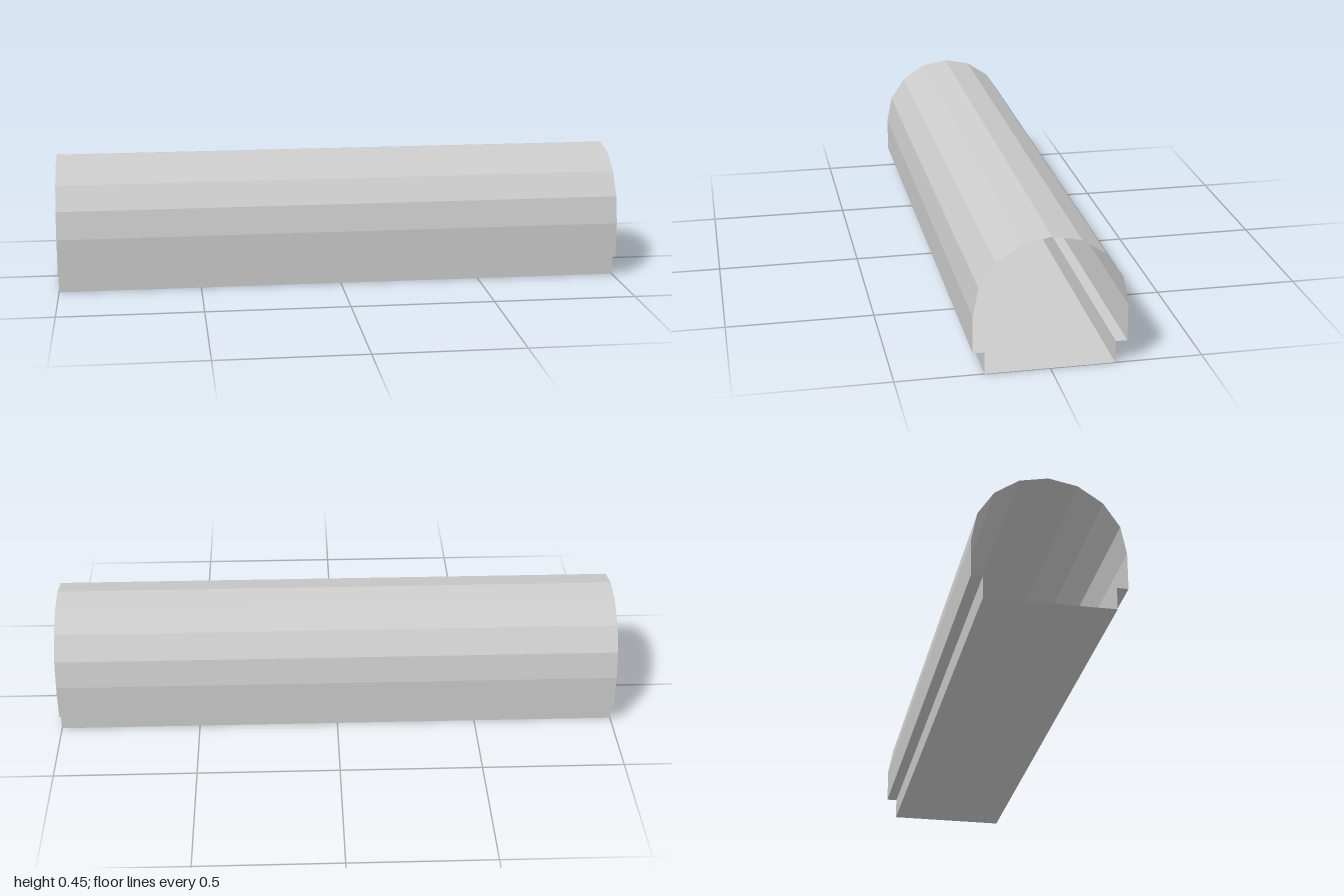
import * as THREE from 'three';

const LENGTH = 2;
const FLOOR_Z = 0.2125, WALL_Z = 0.25;   // half widths of floor and hall
const LEDGE_Y = 0.075, SPRING_Y = 0.2;   // heights of ledge and start of the arch
const ARCH_SEGMENTS = 8;

const material = new THREE.MeshStandardMaterial({
  color: 0xcccccc, flatShading: true, side: THREE.DoubleSide,
});

// Thin sheet: sweeps a [z, y] profile along x, one separate flat facet per step.
function sheet(name, profile) {
  const positions = [];
  const h = LENGTH / 2;
  for (let i = 0; i < profile.length - 1; i++) {
    const [z0, y0] = profile[i], [z1, y1] = profile[i + 1];
    positions.push(
      -h, y0, z0, h, y0, z0, h, y1, z1,
      -h, y0, z0, h, y1, z1, -h, y1, z1,
    );
  }
  const geometry = new THREE.BufferGeometry();
  geometry.setAttribute('position', new THREE.Float32BufferAttribute(positions, 3));
  geometry.computeVertexNormals();
  const mesh = new THREE.Mesh(geometry, material);
  mesh.name = name;
  return mesh;
}

export function createModel() {
  const group = new THREE.Group();
  group.name = 'vaultedTunnel';

  // Sunken floor
  group.add(sheet('floor', [[-FLOOR_Z, 0], [FLOOR_Z, 0]]));

  // Kerb and ledge along both sides
  group.add(sheet('frontLedge', [[FLOOR_Z, 0], [FLOOR_Z, LEDGE_Y], [WALL_Z, LEDGE_Y]]));
  group.add(sheet('backLedge', [[-WALL_Z, LEDGE_Y], [-FLOOR_Z, LEDGE_Y], [-FLOOR_Z, 0]]));

  // Upright walls carrying a faceted half-round vault
  const vault = [[WALL_Z, LEDGE_Y]];
  for (let i = 0; i <= ARCH_SEGMENTS; i++) {
    const a = (i / ARCH_SEGMENTS) * Math.PI;
    vault.push([WALL_Z * Math.cos(a), SPRING_Y + WALL_Z * Math.sin(a)]);
  }
  vault.push([-WALL_Z, LEDGE_Y]);
  group.add(sheet('wallsAndVault', vault));

  return group;
}
